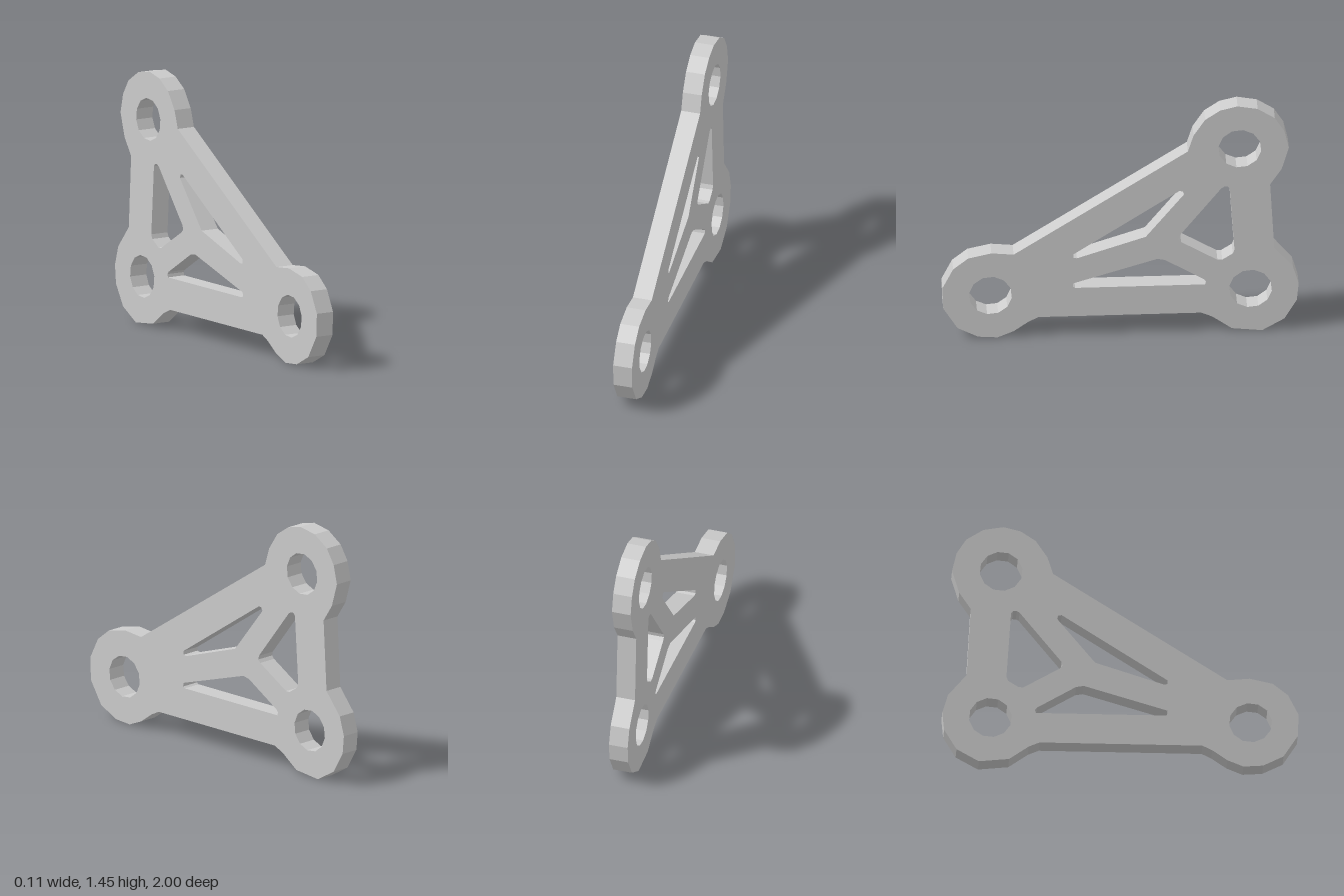
import * as THREE from 'three';

const THICKNESS = 0.11;
const toPoints = (pairs) => pairs.map(([z, y]) => new THREE.Vector2(z, y));

// Faceted round bore
function bore(z, y, radius = 0.121, sides = 12) {
  return Array.from({ length: sides }, (_, i) => {
    const a = ((i + 0.3) / sides) * Math.PI * 2;
    return [z + radius * Math.cos(a), y + radius * Math.sin(a)];
  });
}

export function createModel() {
  const group = new THREE.Group();
  group.name = 'triangularBracket';

  // Side profile as [z, y], counter-clockwise: three lobes joined by straight edges
  const outline = [
    // top lobe
    [-0.378, 1.168], [-0.41, 1.27], [-0.475, 1.369], [-0.56, 1.427], [-0.657, 1.451],
    [-0.77, 1.431], [-0.866, 1.369], [-0.92, 1.283], [-0.945, 1.175], [-0.905, 1.04],
    [-0.84, 0.941],
    // lower back lobe
    [-0.863, 0.533], [-0.91, 0.476], [-0.968, 0.406], [-1, 0.297], [-0.99, 0.191],
    [-0.92, 0.072], [-0.795, 0], [-0.625, 0.018], [-0.515, 0.097], [-0.453, 0.124],
    // front lobe
    [0.46, 0.124], [0.515, 0.097], [0.6, 0.037], [0.69, 0], [0.8, 0.008], [0.915, 0.067],
    [0.995, 0.195], [1, 0.327], [0.94, 0.447], [0.855, 0.515], [0.725, 0.544], [0.6, 0.532],
  ];

  // Triangular windows that leave three spokes meeting in the middle
  const upperWindow = [
    [0.265, 0.523], [0.265, 0.501], [0.245, 0.497], [-0.142, 0.624],
    [-0.357, 0.892], [-0.349, 0.911], [-0.33, 0.914],
  ];
  const backWindow = [
    [-0.33, 0.624], [-0.325, 0.601], [-0.34, 0.584], [-0.544, 0.463], [-0.571, 0.463],
    [-0.63, 0.501], [-0.64, 0.526], [-0.614, 0.919], [-0.603, 0.934], [-0.582, 0.934],
    [-0.566, 0.924],
  ];
  const lowerWindow = [
    [0.265, 0.336], [0.268, 0.314], [0.255, 0.306], [-0.475, 0.306],
    [-0.48, 0.324], [-0.47, 0.338], [-0.25, 0.471], [-0.206, 0.479],
  ];

  const shape = new THREE.Shape(toPoints(outline));
  const openings = [
    bore(0.73, 0.272), bore(-0.73, 0.272), bore(-0.67, 1.177),
    upperWindow, backWindow, lowerWindow,
  ];
  for (const opening of openings) shape.holes.push(new THREE.Path(toPoints(opening)));

  // Plate extruded across x
  const geometry = new THREE.ExtrudeGeometry(shape, { depth: THICKNESS, bevelEnabled: false });
  geometry.translate(0, 0, -THICKNESS / 2);
  geometry.rotateY(-Math.PI / 2);

  const plate = new THREE.Mesh(
    geometry,
    new THREE.MeshStandardMaterial({ color: 0xcccccc, flatShading: true }),
  );
  plate.name = 'bracketPlate';
  group.add(plate);
  return group;
}
